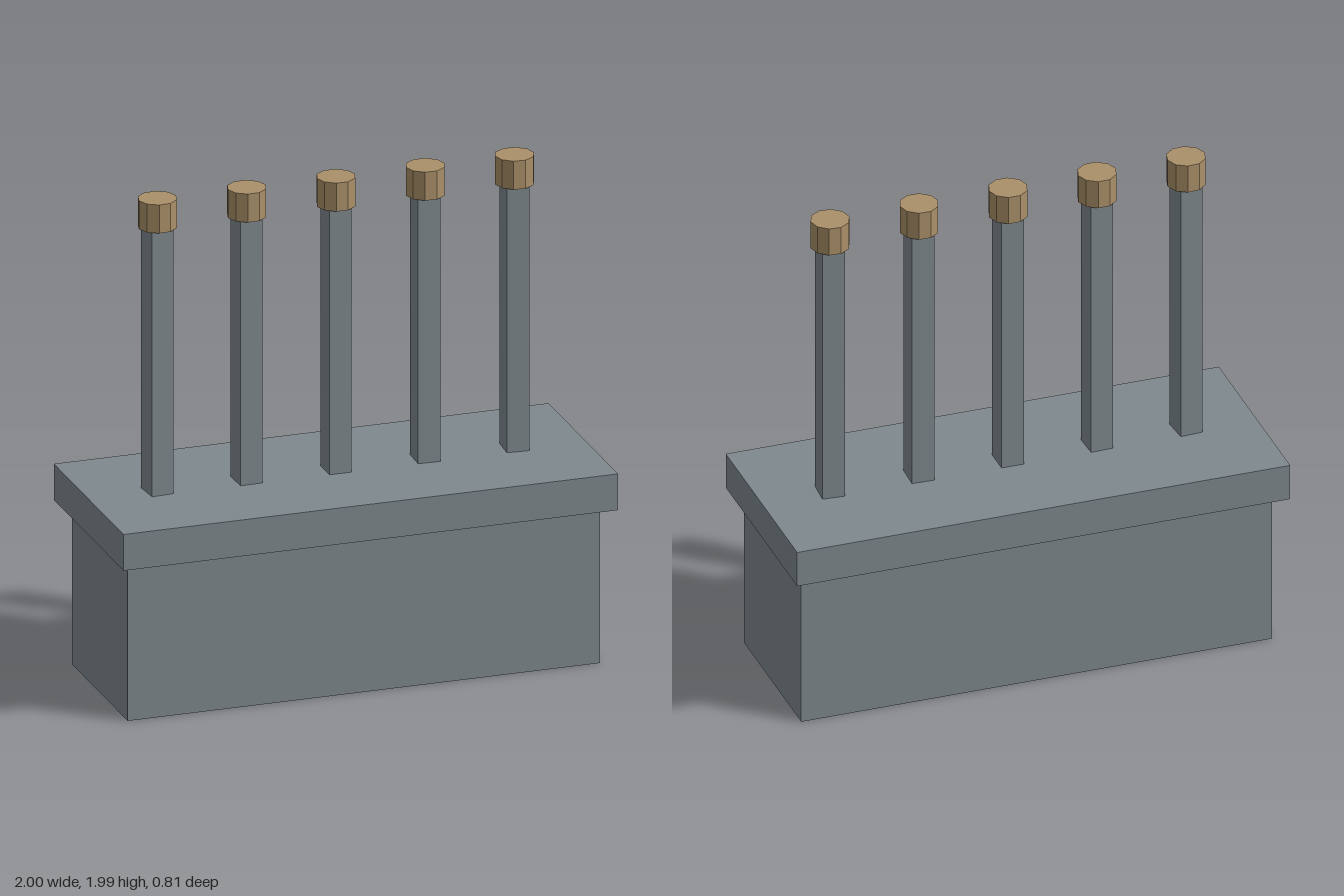
import * as THREE from 'three';

export function createModel() {
  const model = new THREE.Group();
  const stone = new THREE.MeshStandardMaterial({ color: 0x7f898e });
  stone.name = 'grey stone';
  const tan = new THREE.MeshStandardMaterial({ color: 0xab9069, flatShading: true });
  tan.name = 'tan';

  function add(parent, name, geometry, material, y) {
    const mesh = new THREE.Mesh(geometry, material);
    mesh.name = name;
    mesh.position.y = y;
    parent.add(mesh);
  }

  // Plinth with an overhanging slab
  add(model, 'plinth', new THREE.BoxGeometry(1.91, 0.647, 0.65), stone, 0.3235);
  add(model, 'slab', new THREE.BoxGeometry(2, 0.148, 0.81), stone, 0.721);

  // Row of posts, each turned slightly inward, with ten-sided caps
  const postGeometry = new THREE.BoxGeometry(0.09, 1.08, 0.106);
  const capGeometry = new THREE.CylinderGeometry(0.077, 0.077, 0.116, 10);
  capGeometry.rotateY(Math.PI / 2);
  for (let i = -2; i <= 2; i++) {
    const post = new THREE.Group();
    post.name = 'cappedPost';
    post.position.x = i * 0.361;
    post.rotation.y = -i * 0.035;
    add(post, 'post', postGeometry, stone, 1.335);
    add(post, 'cap', capGeometry, tan, 1.932);
    model.add(post);
  }
  return model;
}
